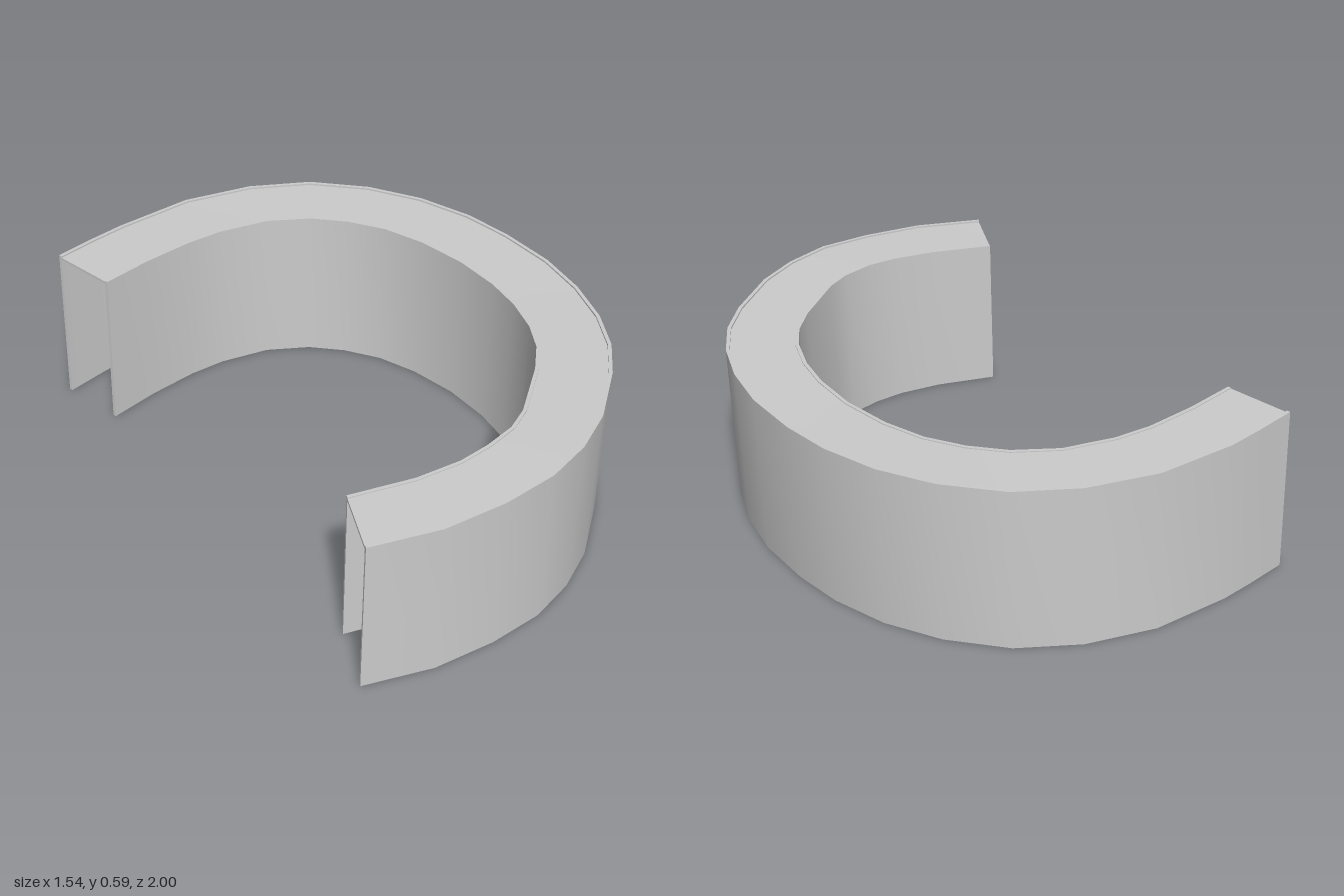
import * as THREE from 'three';
import { toCreasedNormals } from 'three/addons/utils/BufferGeometryUtils.js';

// Plan curves [x, z] of the outer and inner rims, from the back end round to the front end
const OUTER = [[-0.45, -0.99], [-0.3, -0.995], [-0.17, -0.995], [0.11, -0.96], [0.34, -0.865], [0.52, -0.73],
  [0.65, -0.55], [0.73, -0.36], [0.768, -0.16], [0.77, 0.02], [0.745, 0.23], [0.69, 0.41], [0.61, 0.57],
  [0.51, 0.70], [0.39, 0.80], [0.19, 0.92], [0.03, 0.975], [-0.14, 0.997], [-0.33, 0.975], [-0.54, 0.92], [-0.757, 0.81]];
const INNER = [[-0.435, -0.745], [-0.25, -0.75], [-0.07, -0.74], [0.06, -0.715], [0.225, -0.65], [0.35, -0.55],
  [0.43, -0.44], [0.49, -0.31], [0.52, -0.16], [0.525, 0.02], [0.50, 0.19], [0.46, 0.32], [0.40, 0.44],
  [0.33, 0.53], [0.235, 0.605], [0.04, 0.72], [-0.05, 0.75], [-0.17, 0.757], [-0.28, 0.745], [-0.43, 0.70], [-0.63, 0.605]];

// The rim dips and rises slightly along its length
const RIM = [[0, 0.586], [2, 0.578], [9, 0.572], [13, 0.573], [17, 0.579], [20, 0.566]];
function rimHeight(i) {
  const k = Math.max(1, RIM.findIndex(([s]) => s >= i));
  const [a, ya] = RIM[k - 1], [b, yb] = RIM[k];
  return ya + (yb - ya) * (i - a) / (b - a);
}

// Point at station i, fraction t from outer to inner rim; the walls lean a little towards the foot
function pointAt(i, t, y) {
  const lean = Math.min(0, y / 0.572 - 1);
  const x = THREE.MathUtils.lerp(OUTER[i][0], INNER[i][0], t);
  const z = THREE.MathUtils.lerp(OUTER[i][1], INNER[i][1], t);
  return [x + 0.015 * lean, y, z + 0.006 * lean];
}

// Sweep a rectangular section between fractions t0..t1; top and bottom give its heights
function sweep(name, t0, t1, top, bottom, material) {
  const rings = OUTER.map((_, i) => {
    const h = rimHeight(i);
    return [pointAt(i, t0, top(h)), pointAt(i, t1, top(h)), pointAt(i, t1, bottom(h)), pointAt(i, t0, bottom(h))];
  });
  const pos = [];
  const quad = (a, b, c, d) => pos.push(...a, ...b, ...c, ...a, ...c, ...d);
  for (let i = 0; i < rings.length - 1; i++) {
    for (let j = 0; j < 4; j++) {
      const k = (j + 1) % 4;
      quad(rings[i][j], rings[i][k], rings[i + 1][k], rings[i + 1][j]);
    }
  }
  quad(...[...rings[0]].reverse());
  quad(...rings[rings.length - 1]);
  const geometry = new THREE.BufferGeometry();
  geometry.setAttribute('position', new THREE.Float32BufferAttribute(pos, 3));
  const mesh = new THREE.Mesh(toCreasedNormals(geometry, 0.7), material);
  mesh.name = name;
  return mesh;
}

export function createModel() {
  const group = new THREE.Group();
  group.name = 'curvedChannel';
  const material = new THREE.MeshStandardMaterial({ color: 0xcccccc });
  const wall = 0.05;
  group.add(
    sweep('outerWall', 0, wall, h => h, () => 0, material),
    sweep('innerWall', 1 - wall, 1, h => h - 0.003, () => 0, material),
    // Thin cover set just below the rims
    sweep('topPlate', wall, 1 - wall, h => h - 0.006, h => h - 0.016, material),
  );
  return group;
}
